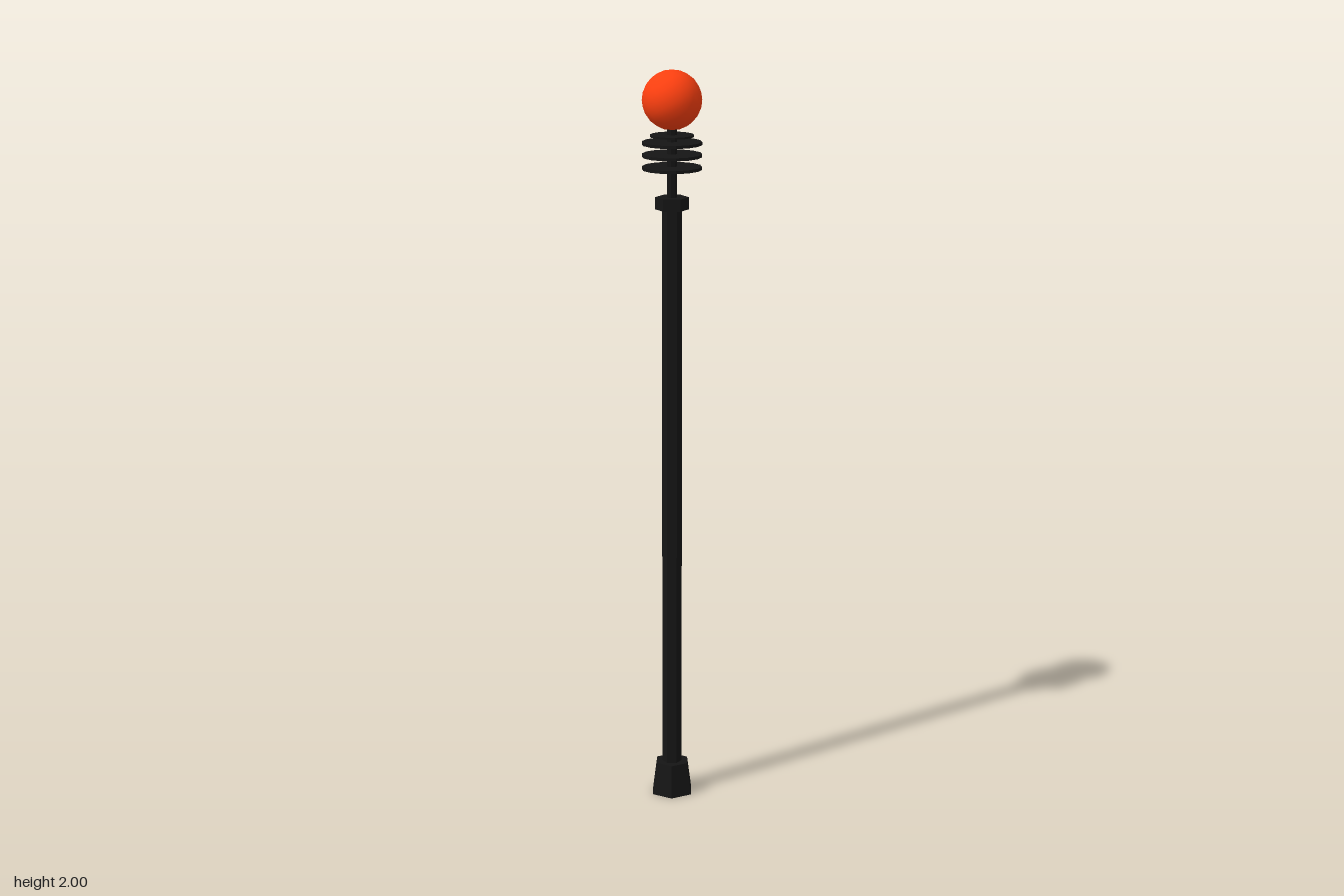
import * as THREE from 'three';

export function createModel() {
  const group = new THREE.Group();
  const black = new THREE.MeshStandardMaterial({ color: 0x151515, flatShading: true });
  const orange = new THREE.MeshStandardMaterial({ color: 0xff4010 });

  // Upright prism or frustum between two heights
  function column(name, rTop, rBottom, y0, y1, sides, turn = 0) {
    const mesh = new THREE.Mesh(new THREE.CylinderGeometry(rTop, rBottom, y1 - y0, sides), black);
    mesh.name = name;
    mesh.position.y = (y0 + y1) / 2;
    mesh.rotation.y = turn;
    group.add(mesh);
  }

  // Hexagonal foot, shaft and collar
  column('foot', 0.048, 0.061, 0, 0.09, 6, Math.PI / 6);
  column('shaft', 0.0265, 0.0265, 0.03, 1.64, 6);
  column('collar', 0.0445, 0.0445, 1.635, 1.667, 6);

  // Thin neck carrying the ball
  column('neck', 0.0135, 0.0135, 1.66, 1.86, 8, Math.PI / 8);

  // Stacked plates, with a smaller one on top
  [1.744, 1.777, 1.809].forEach((y, i) =>
    column(`plate${i + 1}`, 0.079, 0.079, y - 0.004, y + 0.004, 14, Math.PI / 2));
  column('topPlate', 0.058, 0.058, 1.826, 1.831, 14, Math.PI / 2);

  // Ball
  const ball = new THREE.Mesh(new THREE.IcosahedronGeometry(0.0785, 3), orange);
  ball.name = 'ball';
  ball.position.y = 1.9215;
  group.add(ball);

  return group;
}
